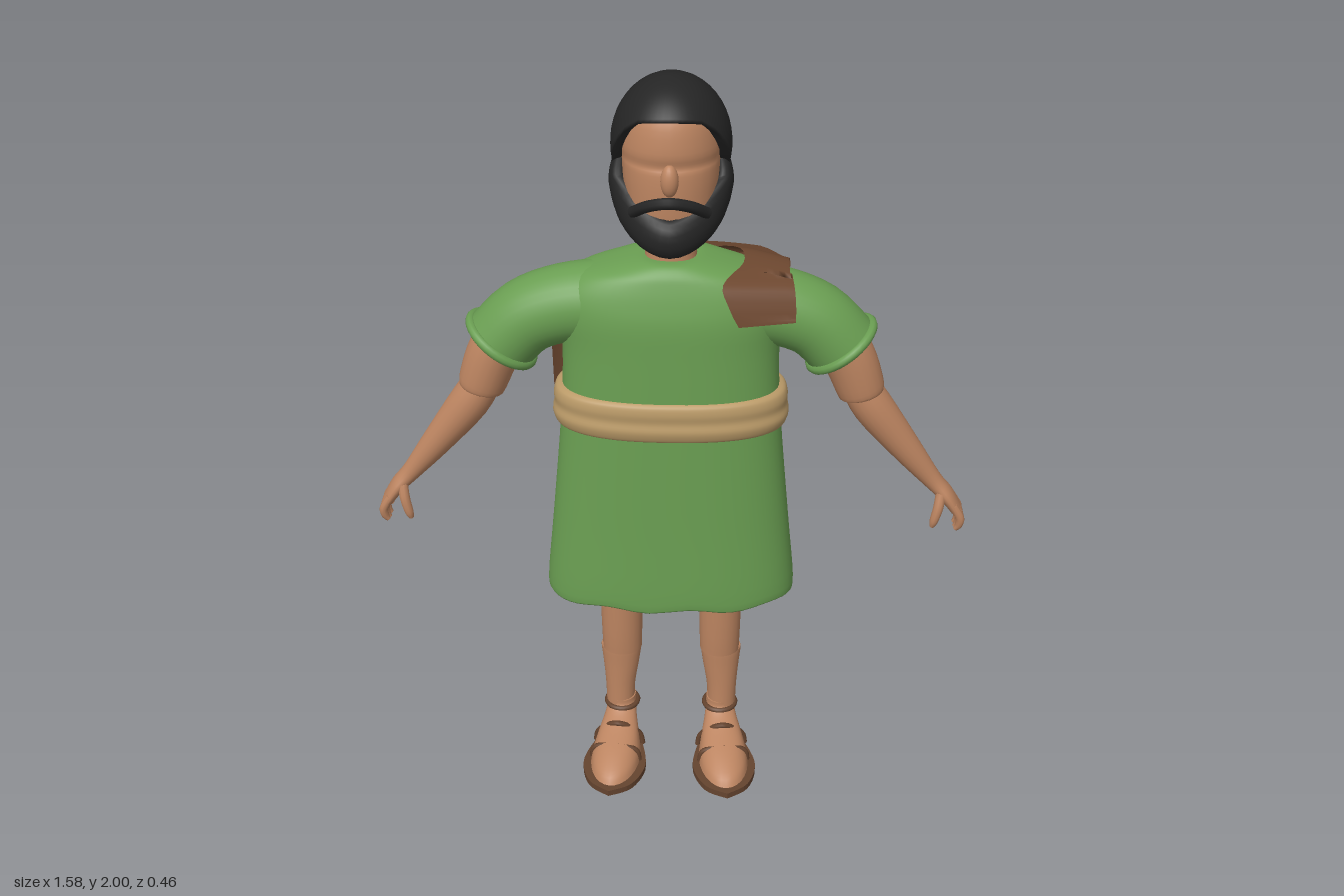
import * as THREE from 'three';

const mat = (name, color, side = THREE.FrontSide) => {
  const m = new THREE.MeshStandardMaterial({ color, side });
  m.name = name;
  return m;
};
const V = (x, y, z) => new THREE.Vector3(x, y, z);

// Catmull-Rom resampling of rows of numbers
function resample(rows, k) {
  const out = [], at = i => rows[Math.min(Math.max(i, 0), rows.length - 1)];
  for (let i = 0; i < rows.length - 1; i++) {
    for (let s = 0; s < k; s++) {
      const t = s / k;
      out.push(rows[i].map((b, j) => {
        const a = at(i - 1)[j], c = at(i + 1)[j], d = at(i + 2)[j];
        return b + 0.5 * t * (c - a + t * (2 * a - 5 * b + 4 * c - d + t * (3 * (b - c) + d - a)));
      }));
    }
  }
  return [...out, rows[rows.length - 1]];
}

// Piecewise linear lookup in rows of [key, value, ...], keys ascending
function lookup(rows, key, col) {
  let i = 0;
  while (i < rows.length - 2 && key > rows[i + 1][0]) i++;
  const t = THREE.MathUtils.clamp((key - rows[i][0]) / (rows[i + 1][0] - rows[i][0]), 0, 1);
  return rows[i][col] + t * (rows[i + 1][col] - rows[i][col]);
}

// Skin over rings of points; closed rings may get end caps
function skin(rings, { closed = true, caps = false } = {}) {
  const n = rings[0].length, pos = [], idx = [];
  rings.forEach(r => r.forEach(p => pos.push(p.x, p.y, p.z)));
  for (let i = 0; i < rings.length - 1; i++) {
    for (let j = 0; j < (closed ? n : n - 1); j++) {
      const a = i * n + j, b = i * n + (j + 1) % n;
      idx.push(a, a + n, b, b, a + n, b + n);
    }
  }
  if (caps) [rings[0], rings[rings.length - 1]].forEach((r, e) => {
    const base = pos.length / 3, c = V(0, 0, 0);
    r.forEach(p => { c.addScaledVector(p, 1 / n); pos.push(p.x, p.y, p.z); });
    pos.push(c.x, c.y, c.z);
    for (let j = 0; j < n; j++) {
      const a = base + j, b = base + (j + 1) % n;
      idx.push(base + n, ...(e ? [b, a] : [a, b]));
    }
  });
  const g = new THREE.BufferGeometry();
  g.setAttribute('position', new THREE.Float32BufferAttribute(pos, 3));
  g.setIndex(idx);
  g.computeVertexNormals();
  return g;
}

// Loft of superellipses; rows are [x, y, z, half width, half depth], turned to follow the path in x and y
function loft(rows, { k = 4, n = 28, power = 2, caps = true } = {}) {
  const r = resample(rows, k), pw = v => Math.sign(v) * Math.abs(v) ** (2 / power);
  const rings = r.map(([x, y, z, ra, rb], i) => {
    const p = r[Math.max(i - 1, 0)], q = r[Math.min(i + 1, r.length - 1)];
    const straight = rows.every(w => w[0] === rows[0][0]);
    const d = straight ? V(0, 1, 0) : V(q[0] - p[0], q[1] - p[1], 0).normalize();
    return Array.from({ length: n }, (_, j) => {
      const f = j / n * Math.PI * 2, u = ra * pw(Math.cos(f));
      return V(x + d.y * u, y - d.x * u, z + rb * pw(Math.sin(f)));
    });
  });
  return skin(rings, { caps });
}

const tube = (pts, r, seg = 24) =>
  new THREE.TubeGeometry(new THREE.CatmullRomCurve3(pts.map(p => V(...p))), seg, r, 8);

export function createModel() {
  const model = new THREE.Group();
  const skinTone = mat('skin', 0xbd8561), hairBlack = mat('hair black', 0x252525, THREE.DoubleSide);
  const green = mat('tunic green', 0x6a9e52, THREE.DoubleSide), tan = mat('belt tan', 0xba9a68);
  const brown = mat('cloak brown', 0x6e4830, THREE.DoubleSide), leather = mat('sandal leather', 0x65442f);
  const add = (name, geo, material, parent = model) => {
    const m = new THREE.Mesh(geo, material);
    m.name = name;
    parent.add(m);
    return m;
  };

  // Tunic with a turned-in, slightly wavy hem
  const tunic = loft([
    [0, .6, -.04, .30, .125], [0, .567, -.04, .325, .145], [0, .585, -.04, .337, .155],
    [0, .8, -.038, .315, .146], [0, 1.1, -.037, .286, .137], [0, 1.3, -.038, .276, .132],
    [0, 1.4, -.04, .287, .13], [0, 1.46, -.045, .282, .122], [0, 1.505, -.05, .235, .112],
    [0, 1.53, -.052, .16, .102], [0, 1.548, -.055, .09, .085], [0, 1.55, -.055, .065, .058],
  ], { n: 56, power: 2.4, caps: false });
  const tp = tunic.attributes.position;
  for (let i = 0; i < tp.count; i++) {
    const y = tp.getY(i);
    if (y < .75) tp.setY(i, y + .006 * Math.sin(tp.getX(i) * 28) * (.75 - y) / .18);
  }
  tunic.computeVertexNormals();
  add('tunic', tunic, green);
  add('belt', loft([
    [0, 1.088, -.036, .28, .13], [0, 1.093, -.036, .297, .142], [0, 1.12, -.036, .306, .15],
    [0, 1.145, -.036, .301, .145], [0, 1.17, -.036, .302, .147], [0, 1.192, -.036, .294, .142],
    [0, 1.2, -.036, .272, .128],
  ], { n: 56, power: 2.4 }), tan);

  // Cloak: strap over the left shoulder, then a panel across the back
  const cloak = new THREE.Group();
  cloak.name = 'cloak';
  model.add(cloak);
  const strap = resample([ // inner x, outer x, y, z
    [.17, .31, 1.42, .105], [.145, .31, 1.47, .092], [.13, .305, 1.515, .06], [.18, .295, 1.532, -.04],
    [.17, .295, 1.53, -.13], [.10, .30, 1.5, -.178], [.10, .30, 1.45, -.185],
  ], 4).map(([x0, x1, y, z]) => Array.from({ length: 9 }, (_, j) => {
    const x = x0 + (x1 - x0) * j / 8, o = x - .15;
    return V(x, y - (y > 1.44 ? o * .1 : 0), z > 0 ? z - o * .22 : z + Math.max(0, o - .05) * .35);
  }));
  add('cloakStrap', skin(strap, { closed: false }), brown, cloak);
  const edges = [ // x, top y, bottom y
    [-.315, 1.37, 1.03], [-.2, 1.43, 1.02], [-.08, 1.485, 1.04], [.09, 1.52, 1.1], [.23, 1.515, 1.2], [.3, 1.49, 1.41],
  ];
  const panel = Array.from({ length: 33 }, (_, i) => {
    const x = -.315 + .615 * i / 32, top = lookup(edges, x, 1), low = lookup(edges, x, 2);
    return Array.from({ length: 17 }, (_, j) => {
      const y = top + (low - top) * j / 16;
      const sag = x < 0 ? .05 * Math.max(0, 1.38 - y) / .35 * (x / .315) ** 4 : 0;
      return V(x, y, -.04 - .148 * (1 - Math.abs(x / .335) ** 3) ** (1 / 3) - sag);
    });
  });
  add('cloakBack', skin(panel, { closed: false }), brown, cloak);

  // Neck and head
  add('neck', loft([[0, 1.5, -.055, .07, .062], [0, 1.58, -.055, .063, .057], [0, 1.7, -.05, .066, .06]]), skinTone);
  add('head', loft([
    [0, 1.6, 0, .05, .05], [0, 1.66, -.02, .098, .085], [0, 1.74, -.038, .114, .107], [0, 1.795, -.045, .118, .112],
    [0, 1.815, -.048, .118, .109], [0, 1.85, -.052, .119, .118], [0, 1.92, -.06, .104, .112], [0, 1.97, -.06, .06, .07],
  ]), skinTone);
  const nose = add('nose', new THREE.SphereGeometry(1, 20, 14), skinTone);
  nose.scale.set(.022, .04, .022);
  nose.position.set(0, 1.785, .064);

  // Hair cap whose lower edge drops from the forehead to the nape
  const hairline = [[-1, 1.67], [-.6, 1.68], [-.3, 1.73], [0, 1.765], [.3, 1.82], [.6, 1.89], [.8, 1.92], [1, 1.93]];
  const N = 14, hairRings = [];
  for (let i = 0; i <= N + 1; i++) {
    hairRings.push(Array.from({ length: 48 }, (_, j) => {
      const a = j / 48 * Math.PI * 2, f = Math.sin(a);
      const low = lookup(hairline, f, 1), t = Math.min(i / N, 1);
      const y = 2 - (2 - low) * (1 - Math.cos(t * Math.PI / 2)), h = y - 1.83;
      const r = (h > 0 ? Math.sqrt(Math.max(0, 1 - (h / .17) ** 2)) : 1 - .4 * (h / .16) ** 2) * (i > N ? .82 : 1);
      return V(.147 * r * Math.cos(a), y, -.075 + (f > 0 ? .18 : .157) * r * f);
    }));
  }
  add('hair', skin(hairRings.reverse()), hairBlack);

  // Beard swept along the jaw, and moustache
  const half = [[-.117, 1.81, -.08, .018, .03], [-.125, 1.735, -.06, .027, .045], [-.085, 1.672, .012, .03, .05]];
  const jaw = resample([...half, [0, 1.637, .064, .034, .05], ...half.map(([x, ...r]) => [-x, ...r]).reverse()], 6);
  const beard = jaw.map(([x, y, z, ra, rb], i) => {
    const p = jaw[Math.max(i - 1, 0)], q = jaw[Math.min(i + 1, jaw.length - 1)];
    const dir = V(q[0] - p[0], q[1] - p[1], q[2] - p[2]).normalize();
    const out = V(x, 0, z + .06).normalize().projectOnPlane(dir).normalize(), up = out.clone().cross(dir);
    return Array.from({ length: 18 }, (_, j) => {
      const f = j / 18 * Math.PI * 2;
      return V(x, y, z).addScaledVector(out, ra * Math.cos(f)).addScaledVector(up, rb * Math.sin(f));
    });
  });
  add('beard', skin(beard, { caps: true }), hairBlack);
  add('moustache', tube([[-.09, 1.695, .04], [-.05, 1.728, .08], [0, 1.742, .096], [.05, 1.728, .08], [.09, 1.695, .04]], .014), hairBlack);

  for (const s of [1, -1]) {
    const side = s > 0 ? 'left' : 'right';
    const limb = (rows, o) => loft(rows.map(([x, y, z, a, b = a]) => [s * x, y, z, a, b]), { n: 20, ...o });
    const group = name => {
      const g = new THREE.Group();
      g.name = side + name;
      model.add(g);
      return g;
    };

    // Sleeve with rolled cuff
    const arm = group('Arm');
    add('sleeve', limb([[.16, 1.42, -.05, .105], [.27, 1.407, -.05, .1], [.365, 1.37, -.05, .097], [.435, 1.3, -.05, .096]],
      { n: 32, caps: false }), green, arm);
    const cuff = add('cuff', new THREE.TorusGeometry(.095, .013, 10, 36), green, arm);
    cuff.position.set(s * .433, 1.302, -.05);
    cuff.lookAt(s * (.433 + .6), 1.302 - .8, -.05);

    // Arm, palm and fingers
    add('upperArm', limb([[.38, 1.38, -.05, .07], [.45, 1.275, -.05, .069], [.488, 1.18, -.05, .063], [.494, 1.163, -.05, .056]]), skinTone, arm);
    add('forearm', limb([[.475, 1.2, -.05, .046], [.525, 1.12, -.05, .053], [.62, .995, -.05, .04], [.695, .9, -.05, .026, .028],
      [.735, .855, -.052, .021, .039], [.765, .81, -.055, .016, .042]]), skinTone, arm);
    for (let i = 0; i < 4; i++) {
      const z = -.09 + i * .022, d = i === 0 ? .015 : i === 3 ? .006 : 0;
      add('finger', limb([[.755, .83, z, .011], [.775, .795, z, .012], [.775, .765 + d, z - .002, .011], [.766, .75 + d, z - .002, .006]],
        { n: 10 }), skinTone, arm);
    }
    add('thumb', limb([[.72, .87, -.03, .014], [.715, .83, -.018, .014], [.706, .79, -.014, .012], [.701, .77, -.014, .006]], { n: 10 }), skinTone, arm);

    // Thigh and shin
    const leg = group('Leg');
    add('thigh', limb([[.138, .32, -.053, .055, .047], [.138, .45, -.05, .058, .051], [.138, .95, -.045, .066, .058]]), skinTone, leg);
    add('shin', limb([[.146, .09, -.06, .04, .04], [.146, .18, -.06, .042, .039], [.143, .26, -.063, .051, .043],
      [.142, .312, -.065, .057, .047], [.142, .322, -.064, .055, .045]]), skinTone, leg);

    // Foot in a sandal, splayed slightly outwards
    const foot = group('Foot');
    foot.position.set(s * .147, 0, 0);
    foot.rotation.y = s * .09;
    add('foot', loft([[0, .018, .08, .07, .125], [0, .04, .066, .066, .118], [0, .065, .03, .057, .098],
      [0, .09, -.02, .046, .062], [0, .115, -.055, .04, .042], [0, .14, -.06, .039, .04]]), skinTone, foot);
    const sole = new THREE.Shape();
    sole.setFromPoints(new THREE.SplineCurve([[0, -.228], [.06, -.19], [.089, -.11], [.07, -.02], [.045, .035], [0, .05],
      [-.045, .035], [-.07, -.02], [-.089, -.11], [-.06, -.19], [0, -.228]].map(p => new THREE.Vector2(...p))).getPoints(50).slice(0, -1));
    add('sole', new THREE.ExtrudeGeometry(sole, { depth: .018, bevelEnabled: false }).rotateX(-Math.PI / 2), leather, foot);
    for (const [z, top, lean] of [[.085, .068, .005], [.01, .098, .02]]) {
      add('sandalStrap', tube([[-.068, .015, z], [-.06, .05, z], [0, top, z + lean], [.06, .05, z], [.068, .015, z]], .008), leather, foot);
    }
    add('ankleStrap', new THREE.TorusGeometry(.044, .008, 8, 28).rotateX(Math.PI / 2).translate(0, .115, -.06), leather, foot);
  }
  return model;
}
